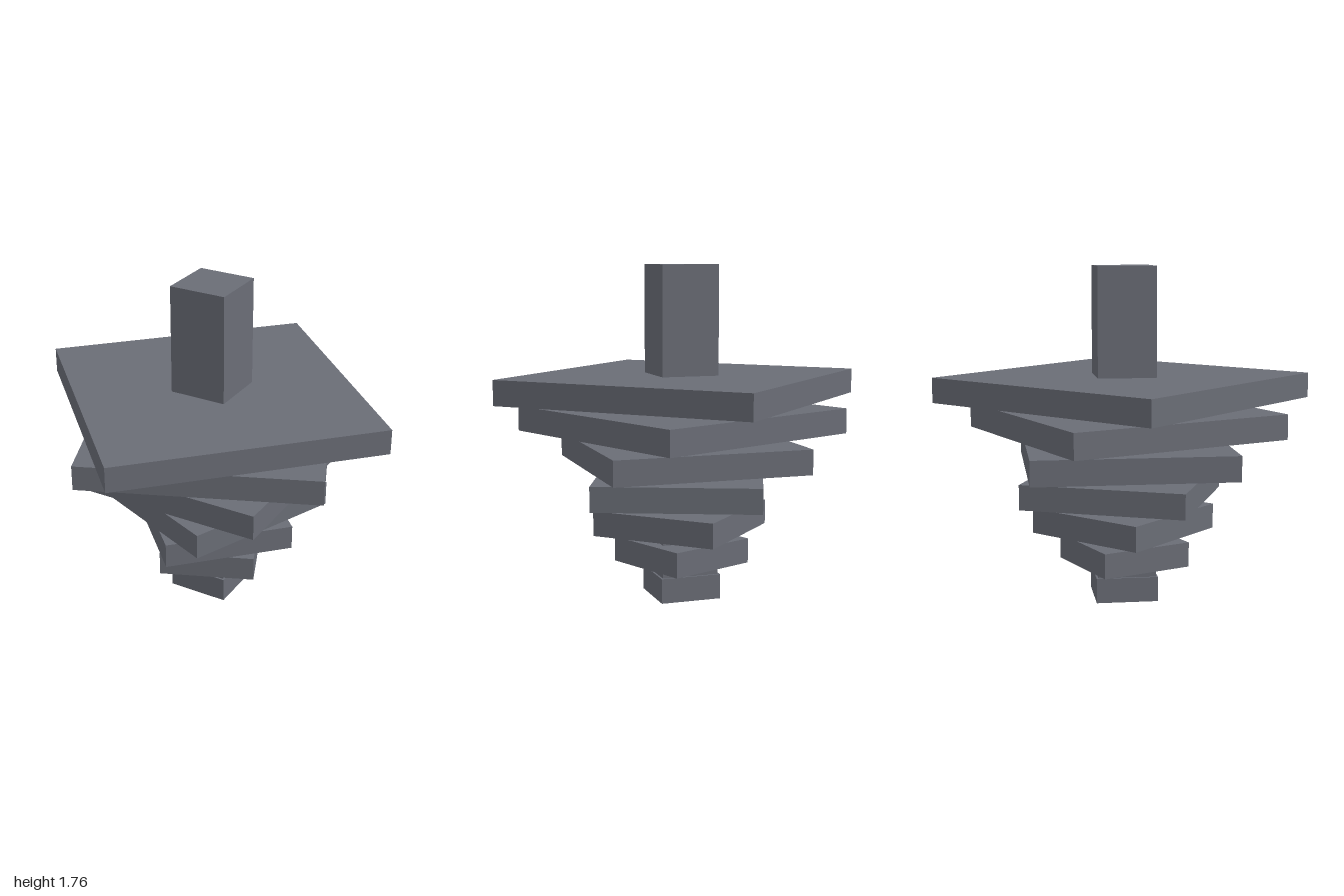
import * as THREE from 'three';

export function createModel() {
  const model = new THREE.Group();
  model.name = 'twistedSlabTower';
  const slate = new THREE.MeshStandardMaterial({ color: 0x6a6d76 });
  slate.name = 'slateGrey';

  // Square block standing on a given height, turned about the vertical axis
  function block(name, width, height, bottom, turn = 0) {
    const mesh = new THREE.Mesh(new THREE.BoxGeometry(width, height, width), slate);
    mesh.name = name;
    mesh.position.y = bottom + height / 2;
    mesh.rotation.y = turn;
    model.add(mesh);
  }

  // Seven slabs, each wider and an eighth of a half turn further round
  for (let i = 0; i < 7; i++) {
    block(`slab${i + 1}`, 0.326 + i * 0.1814, 0.132, i * 0.1765, i * Math.PI / 8);
  }

  // Central column through all the slabs
  block('column', 0.306, 1.715, 0.05);

  return model;
}
